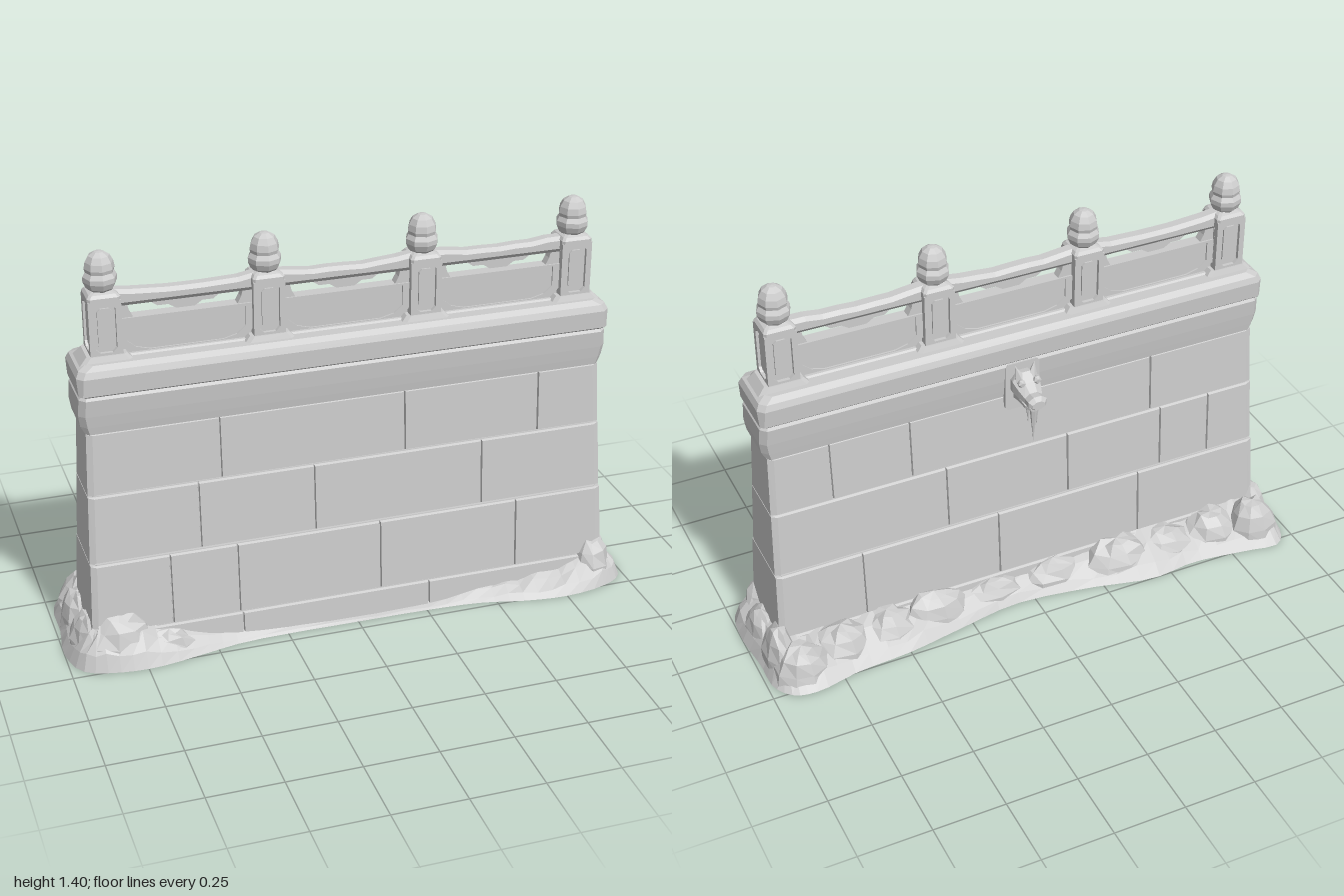
import * as THREE from 'three';

const stone = new THREE.MeshStandardMaterial({ color: 0xcccccc, side: THREE.DoubleSide });
stone.name = 'greyStone';
const ZC = 0.043; // depth of the balustrade centre line

// Flat-shaded mesh
function add(parent, geo, name, x = 0, y = 0, z = 0) {
  const g = geo.index ? geo.toNonIndexed() : geo;
  g.computeVertexNormals();
  const m = new THREE.Mesh(g, stone);
  m.name = name;
  m.position.set(x, y, z);
  parent.add(m);
  return m;
}

// Skin a stack of equal-length rings, counter-clockwise seen from the far end
function loft(rings, caps = true) {
  const p = [], n = rings[0].length, last = rings[rings.length - 1];
  for (let r = 0; r + 1 < rings.length; r++) for (let i = 0; i < n; i++) {
    const j = (i + 1) % n, a = rings[r], b = rings[r + 1];
    p.push(...a[i], ...a[j], ...b[j], ...a[i], ...b[j], ...b[i]);
  }
  if (caps) for (let i = 1; i + 1 < n; i++) {
    p.push(...rings[0][0], ...rings[0][i + 1], ...rings[0][i]);
    p.push(...last[0], ...last[i], ...last[i + 1]);
  }
  const g = new THREE.BufferGeometry();
  g.setAttribute('position', new THREE.Float32BufferAttribute(p, 3));
  return g;
}

// Horizontal rectangle with clipped corners
function slab(y, hx, z0, z1, c = 0.012) {
  return [[-hx + c, y, z1], [hx - c, y, z1], [hx, y, z1 - c], [hx, y, z0 + c],
    [hx - c, y, z0], [-hx + c, y, z0], [-hx, y, z0 + c], [-hx, y, z1 - c]];
}

function poly(pts) {
  return new THREE.Shape(pts.map(([x, y]) => new THREE.Vector2(x, y)));
}
const clipped = (w, y0, y1, c) => [[-w + c, y0], [w - c, y0], [w, y0 + c], [w, y1 - c],
  [w - c, y1], [-w + c, y1], [-w, y1 - c], [-w, y0 + c]];
const plate = (shape, depth) => new THREE.ExtrudeGeometry(shape, { depth, bevelEnabled: false });

const noise = (a, b, c) => {
  const s = Math.sin(a * 127.1 + b * 311.7 + c * 74.7) * 43758.5453;
  return (s - Math.floor(s)) * 2 - 1;
};

const halfX = y => 0.918 - 0.04 * y; // tapering half length of the wall

function buildWall(root) {
  const wall = new THREE.Group();
  wall.name = 'wall';
  root.add(wall);
  // Courses: heights, front and back faces (bottom, top), front and back joints
  const courses = [
    [0, 0.1, [0.188, 0.182], [0.105, 0.099], [-0.4, 0.265], [-0.3, 0.35]],
    [0.1, 0.355, [0.18, 0.165], [0.097, 0.083], [-0.64, -0.41, 0.09, 0.585], [-0.44, 0.1, 0.6]],
    [0.355, 0.595, [0.155, 0.141], [0.074, 0.061], [-0.53, -0.135, 0.46], [-0.72, -0.53, -0.17, 0.28]],
    [0.595, 0.815, [0.137, 0.126], [0.058, 0.046], [-0.45, 0.185, 0.665], [-0.49, 0.4, 0.68]],
  ];
  for (const [ya, yb, zFront, zBack, front, back] of courses) {
    add(wall, loft([[ya, 0], [yb, 1]].map(([y, k]) =>
      slab(y, halfX(y) - 0.01, -zBack[k] + 0.01, zFront[k] - 0.01))), 'courseCore');
    for (const s of [1, -1]) {
      const joints = s > 0 ? front : back.map(x => -x).reverse();
      const faces = s > 0 ? zFront : zBack;
      const y0 = ya + 0.002, y1 = yb - 0.002;
      const edges = [null, ...joints, null];
      for (let i = 0; i + 1 < edges.length; i++) {
        // Chamfered block, broader chamfer on the wall's corners
        const left = y => edges[i] === null ? -halfX(y) : edges[i] + 0.0015;
        const right = y => edges[i + 1] === null ? halfX(y) : edges[i + 1] - 0.0015;
        const cl = edges[i] === null ? 0.02 : 0.002, cr = edges[i + 1] === null ? 0.02 : 0.002;
        const ring = (inset, depth, mid) => [[0, 0], [1, 0], [1, 1], [0, 1]].map(([u, v]) => {
          const y = v ? y1 - inset * 0.004 : y0 + inset * 0.004;
          const x = u ? right(y) - inset * cr : left(y) + inset * cl;
          return [s * x, y, s * (mid ? s * ZC : faces[v] - depth)];
        });
        add(wall, loft([ring(0, 0, true), ring(0, 0.008), ring(1, 0)]), 'stoneBlock');
      }
    }
  }
  // Moulded band and coping
  add(wall, loft([slab(0.813, 0.885, -0.046, 0.126), slab(0.84, 0.9, -0.05, 0.13, 0.02),
    slab(0.88, 0.906, -0.055, 0.135, 0.02), slab(0.937, 0.902, -0.06, 0.14, 0.02),
    slab(0.95, 0.89, -0.052, 0.132)]), 'corniceBand');
  add(wall, loft([slab(0.945, 0.89, -0.052, 0.132), slab(0.955, 0.903, -0.063, 0.146),
    slab(1.015, 0.907, -0.067, 0.148, 0.02), slab(1.036, 0.897, -0.06, 0.14, 0.02),
    slab(1.05, 0.87, -0.04, 0.122, 0.02)]), 'coping');
}

function buildPost(parent, x) {
  const post = new THREE.Group();
  post.name = 'post';
  post.position.set(x, 0, ZC);
  parent.add(post);
  const sq = (y, h, c = 0.008) => slab(y, h, -h, h, c);
  add(post, loft([slab(1.035, 0.095, -0.07, 0.07), slab(1.068, 0.065, -0.058, 0.058)]), 'postFoot');
  add(post, loft([sq(1.04, 0.041), sq(1.25, 0.041)]), 'postCore');
  add(post, loft([sq(1.245, 0.053), sq(1.26, 0.053), sq(1.27, 0.045), sq(1.276, 0.03)]), 'postCap');
  // Recessed panel on each face
  const frame = poly([[-0.053, 1.045], [0.053, 1.045], [0.053, 1.25], [-0.053, 1.25]]);
  frame.holes.push(poly(clipped(0.034, 1.076, 1.238, 0.014)));
  for (let k = 0; k < 4; k++) {
    const side = new THREE.Group();
    side.name = 'postFace';
    side.rotation.y = k * Math.PI / 2;
    post.add(side);
    add(side, plate(frame, 0.012), 'postFrame', 0, 0, 0.041);
    add(side, plate(poly(clipped(0.024, 1.09, 1.224, 0.01)), 0.006), 'postPanel', 0, 0, 0.041);
  }
  // Bud finial: faceted collar under a pointed dome
  const profile = [[0.032, 1.268], [0.046, 1.282], [0.055, 1.302], [0.055, 1.318], [0.046, 1.333],
    [0.049, 1.345], [0.045, 1.366], [0.034, 1.386], [0.015, 1.398], [0, 1.4]];
  add(post, new THREE.LatheGeometry(profile.map(p => new THREE.Vector2(...p)), 8), 'finial');
}

function buildRailing(parent, x) {
  const bay = new THREE.Group();
  bay.name = 'railingBay';
  bay.position.set(x, 0, ZC);
  parent.add(bay);
  const w = 0.23;
  // Pierced panel with cloud-shaped bracket under the rail
  const panel = poly([[-w, 1.04], [w, 1.04], [w, 1.24], [-w, 1.24]]);
  panel.holes.push(poly([[-0.17, 1.172], [0.17, 1.172], [0.182, 1.195], [0.187, 1.214],
    [0.11, 1.214], [0.09, 1.2], [0.055, 1.2], [0.03, 1.184], [-0.03, 1.184], [-0.055, 1.2],
    [-0.09, 1.2], [-0.11, 1.214], [-0.187, 1.214], [-0.182, 1.195]]));
  add(bay, plate(panel, 0.032), 'piercedPanel', 0, 0, -0.016);
  // Raised border with a swept lower edge
  const border = poly([[-w, 1.04], [w, 1.04], [w, 1.172], [-w, 1.172]]);
  border.holes.push(poly([[-0.12, 1.058], [0.12, 1.058], [0.165, 1.07], [0.195, 1.095], [0.195, 1.165],
    [-0.195, 1.165], [-0.195, 1.095], [-0.165, 1.07]]));
  for (const z of [0.016, -0.022]) add(bay, plate(border, 0.006), 'panelBorder', 0, 0, z);
  add(bay, loft([slab(1.04, w, -0.05, 0.05), slab(1.055, w, -0.032, 0.032)]), 'sillMoulding');
  // Worn handrail, slightly sagging
  const rings = [];
  for (let i = 0; i <= 8; i++) {
    const px = -w + i * w / 4, t = px / w;
    const top = 1.257 + 0.014 * t * t + 0.003 * noise(i, x, 1);
    rings.push([[0.016, 1.214], [-0.016, 1.214], [-0.028, 1.228], [-0.028, top - 0.012], [-0.015, top],
      [0.015, top], [0.028, top - 0.012], [0.028, 1.228]].map(([z, y]) => [px, y, z]));
  }
  add(bay, loft(rings), 'handrail');
}

function buildSpout(root) {
  const spout = new THREE.Group();
  spout.name = 'waterSpout';
  spout.position.set(0, 0, -0.045);
  spout.rotation.y = Math.PI; // local +z points out of the back
  root.add(spout);
  add(spout, plate(poly(clipped(0.062, 0.765, 0.945, 0.01)), 0.016), 'spoutPlate');
  const tube = rows => loft(rows.map(([z, y, rx, ry]) => Array.from({ length: 8 }, (_, i) => {
    const a = (i + 0.5) * Math.PI / 4;
    return [rx * Math.cos(a), y + ry * Math.sin(a), z];
  })));
  add(spout, tube([[0.01, 0.865, 0.045, 0.055], [0.04, 0.872, 0.052, 0.052], [0.07, 0.86, 0.044, 0.038],
    [0.1, 0.85, 0.034, 0.025], [0.13, 0.853, 0.036, 0.026], [0.141, 0.848, 0.024, 0.016]]), 'beastHead');
  add(spout, tube([[0.01, 0.82, 0.036, 0.025], [0.05, 0.825, 0.034, 0.018], [0.09, 0.818, 0.028, 0.013],
    [0.112, 0.815, 0.016, 0.009]]), 'lowerJaw');
  for (const s of [1, -1]) {
    const ear = add(spout, new THREE.ConeGeometry(0.02, 0.055, 5), 'ear', s * 0.028, 0.922, 0.038);
    ear.rotation.set(-0.2, 0, -s * 0.25);
    add(spout, new THREE.IcosahedronGeometry(0.015, 0), 'brow', s * 0.028, 0.898, 0.068);
  }
  // Icicles hanging from the jaw
  for (const [x, z, r, len] of [[0, 0.1, 0.014, 0.145], [0.016, 0.091, 0.009, 0.09], [-0.016, 0.093, 0.008, 0.07]])
    add(spout, new THREE.ConeGeometry(r, len, 6), 'icicle', x, 0.823 - len / 2, z).rotation.x = Math.PI;
}

function buildRubble(root) {
  const rubble = new THREE.Group();
  rubble.name = 'rubbleBase';
  root.add(rubble);
  // Outline of the skirt: x, height against the wall, z
  const outline = [[-1, 0.13, 0.1], [-0.96, 0.14, 0.22], [-0.85, 0.15, 0.262], [-0.72, 0.12, 0.27],
    [-0.55, 0.06, 0.24], [-0.4, 0.035, 0.212], [0, 0.015, 0.208], [0.28, 0.02, 0.212], [0.45, 0.045, 0.225],
    [0.6, 0.055, 0.26], [0.75, 0.075, 0.275], [0.9, 0.12, 0.25], [0.98, 0.13, 0.2], [1, 0.12, 0.08],
    [0.985, 0.12, -0.08], [0.98, 0.12, -0.2], [0.93, 0.11, -0.265], [0.85, 0.11, -0.28], [0.7, 0.1, -0.25],
    [0.5, 0.1, -0.235], [0.3, 0.09, -0.2], [0.07, 0.07, -0.165], [-0.2, 0.08, -0.2], [-0.43, 0.1, -0.25],
    [-0.6, 0.1, -0.235], [-0.8, 0.11, -0.26], [-0.93, 0.11, -0.275], [-0.98, 0.12, -0.2], [-0.985, 0.12, -0.05]];
  const curve = new THREE.CatmullRomCurve3(outline.map(p => new THREE.Vector3(...p)), true);
  const pts = curve.getPoints(84).slice(0, 84);
  const ring = (t, h, rough) => pts.map((p, i) => {
    const ix = THREE.MathUtils.clamp(p.x, -0.89, 0.89), iz = THREE.MathUtils.clamp(p.z, -0.08, 0.165);
    const k = noise(i, t, 3) * rough;
    return [THREE.MathUtils.lerp(p.x, ix, t), p.y * h * (1 + k), THREE.MathUtils.lerp(p.z, iz, t + k * 0.15)];
  });
  add(rubble, loft([ring(0, 0, 0), ring(0.2, 0.35, 0.25), ring(0.6, 0.72, 0.2), ring(1, 1, 0.12)], false), 'rubbleSkirt');
  // Boulders: x, z, width, height, depth
  const boulders = [[-0.82, 0.17, 0.12, 0.17, 0.075], [-0.92, 0.1, 0.06, 0.15, 0.1], [-0.66, 0.19, 0.1, 0.09, 0.05],
    [0.88, 0.16, 0.08, 0.155, 0.075], [0.93, 0.05, 0.055, 0.13, 0.1], [0.92, -0.1, 0.06, 0.165, 0.1],
    [0.87, -0.18, 0.1, 0.13, 0.085], [0.71, -0.13, 0.12, 0.125, 0.09], [0.54, -0.12, 0.11, 0.115, 0.085],
    [0.36, -0.11, 0.13, 0.125, 0.08], [0.14, -0.1, 0.13, 0.095, 0.055], [-0.1, -0.1, 0.13, 0.1, 0.065],
    [-0.34, -0.12, 0.14, 0.125, 0.09], [-0.54, -0.12, 0.12, 0.105, 0.09], [-0.72, -0.13, 0.12, 0.125, 0.09],
    [-0.87, -0.17, 0.1, 0.15, 0.085], [-0.92, -0.06, 0.06, 0.15, 0.1]];
  boulders.forEach(([x, z, w, h, d], n) => {
    const g = new THREE.SphereGeometry(1, 9, 4, 0, Math.PI * 2, 0, Math.PI / 2);
    const p = g.attributes.position;
    for (let i = 0; i < p.count; i++) {
      const [a, b, c] = [p.getX(i), p.getY(i), p.getZ(i)].map(v => Math.round(v * 100) / 100 + 0);
      const k = 1 + 0.08 * noise(a + n, b, c);
      p.setXYZ(i, a * k * w, b < 0.01 ? 0 : Math.min(b * k, 1) * h, c * k * d);
    }
    add(rubble, g, 'boulder', x, 0, z);
  });
}

export function createModel() {
  const root = new THREE.Group();
  root.name = 'stoneParapetWall';
  buildWall(root);
  const balustrade = new THREE.Group();
  balustrade.name = 'balustrade';
  root.add(balustrade);
  for (let i = 0; i < 4; i++) buildPost(balustrade, -0.798 + i * 0.532);
  for (let i = -1; i <= 1; i++) buildRailing(balustrade, i * 0.532);
  buildSpout(root);
  buildRubble(root);
  return root;
}
